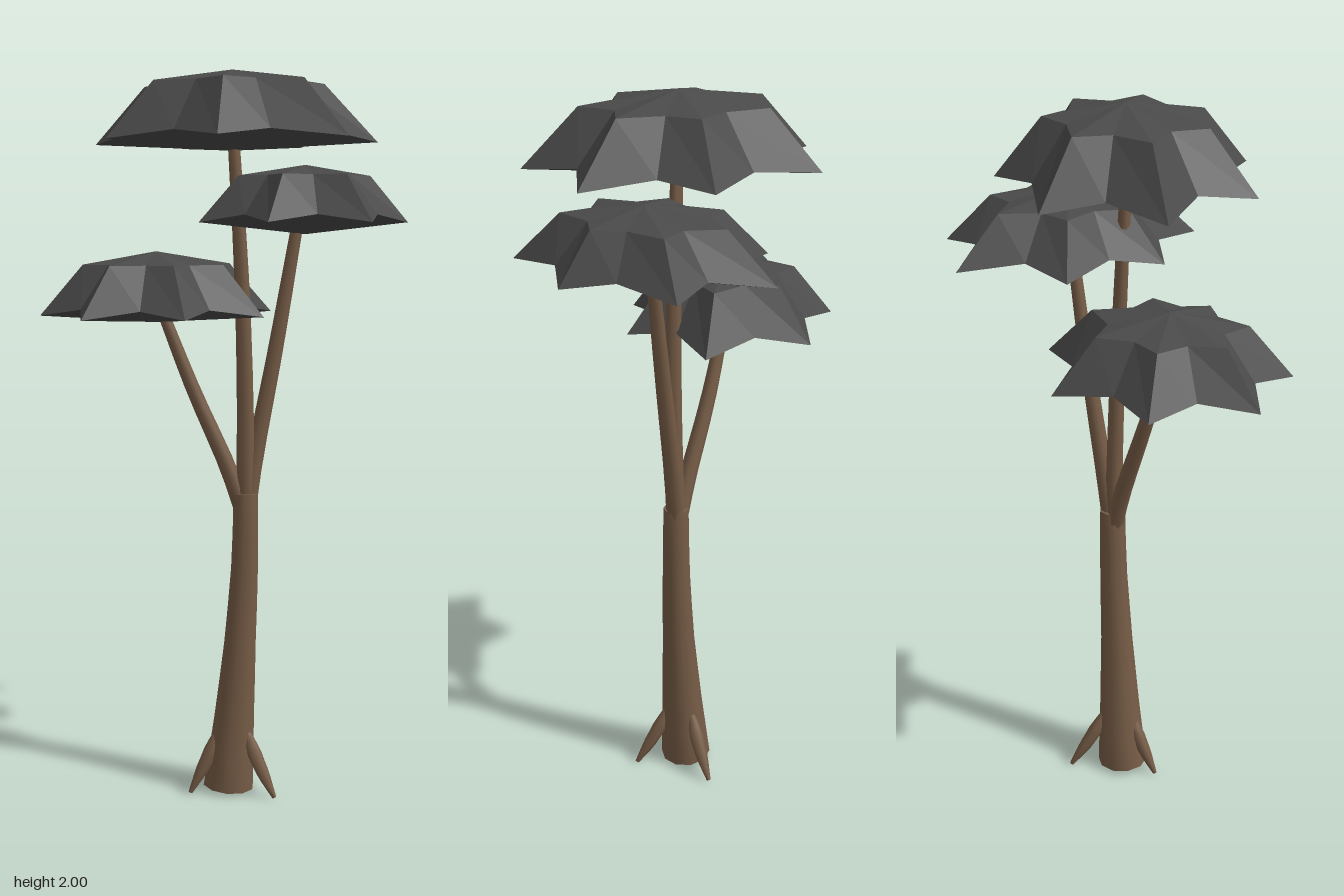
import * as THREE from 'three';
import { toCreasedNormals } from 'three/addons/utils/BufferGeometryUtils.js';

const V = (x, y, z) => new THREE.Vector3(x, y, z);

// Tapered, capped limb swept along a smooth path; radii are spread evenly along it.
function limb(points, radii, sides, segments) {
  const curve = new THREE.CatmullRomCurve3(points.map(p => V(...p)));
  const frames = curve.computeFrenetFrames(segments);
  const pos = [], index = [];
  for (let i = 0; i <= segments; i++) {
    const t = i / segments, f = t * (radii.length - 1);
    const k = Math.min(Math.floor(f), radii.length - 2);
    const r = THREE.MathUtils.lerp(radii[k], radii[k + 1], f - k);
    const c = curve.getPointAt(t);
    for (let j = 0; j < sides; j++) {
      const a = (j / sides) * Math.PI * 2;
      const p = c.clone()
        .addScaledVector(frames.normals[i], Math.cos(a) * r)
        .addScaledVector(frames.binormals[i], Math.sin(a) * r);
      pos.push(p.x, Math.max(p.y, 0), p.z);
      if (i < segments) {
        const n = (j + 1) % sides, q = i * sides;
        index.push(q + j, q + n, q + sides + j, q + n, q + sides + n, q + sides + j);
      }
    }
  }
  const last = segments * sides;
  for (let j = 1; j < sides - 1; j++) {
    index.push(0, j + 1, j, last, last + j, last + j + 1);
  }
  const geo = new THREE.BufferGeometry();
  geo.setAttribute('position', new THREE.Float32BufferAttribute(pos, 3));
  geo.setIndex(index);
  return toCreasedNormals(geo, Math.PI / 3);
}

// Faceted star-shaped canopy: apex, upper ring, drooping rim and shallow underside.
function canopy({ centre: [cx, cz], apex, ring, rim, base, tips }) {
  const outline = [];
  tips.forEach(([a, r], i) => {
    const [b0, s] = tips[(i + 1) % tips.length];
    const b = b0 < a ? b0 + 360 : b0;
    outline.push([a, r, rim], [(a + b) / 2, 0.365 * (r + s), rim + 0.02]);
  });
  const at = ([a, r], k, y) => {
    const t = THREE.MathUtils.degToRad(a);
    return V(cx + Math.cos(t) * r * k, y, cz + Math.sin(t) * r * k);
  };
  const top = V(cx, apex, cz), bottom = V(cx, base, cz), pts = [];
  outline.forEach((o, i) => {
    const n = outline[(i + 1) % outline.length];
    const a = at(o, 0.63, ring), b = at(n, 0.63, ring);
    const c = at(o, 1, o[2]), d = at(n, 1, n[2]);
    pts.push(top, b, a, a, b, c, b, d, c, bottom, c, d);
  });
  const geo = new THREE.BufferGeometry().setFromPoints(pts);
  geo.computeVertexNormals();
  return geo;
}

export function createModel() {
  const tree = new THREE.Group();
  tree.name = 'tree';
  const bark = new THREE.MeshStandardMaterial({ color: 0x765c46 });
  bark.name = 'brown bark';
  const leaves = new THREE.MeshStandardMaterial({ color: 0x4a4a4a });
  leaves.name = 'dark grey foliage';
  const add = (name, geo, mat) => {
    const mesh = new THREE.Mesh(geo, mat);
    mesh.name = name;
    tree.add(mesh);
  };

  // Gently leaning trunk
  add('trunk', limb(
    [[-0.022, 0.012, -0.02], [-0.008, 0.22, -0.01], [0.006, 0.45, 0], [0.018, 0.68, 0.005], [0.02, 0.86, 0.005]],
    [0.073, 0.058, 0.046, 0.039, 0.035], 10, 8), bark);

  // Branches fanning out to each canopy
  const branches = {
    leftwardBranch: [[0.012, 0.82, 0], [-0.02, 0.93, -0.022], [-0.1, 1.15, -0.075], [-0.175, 1.37, -0.115]],
    upperBranch: [[0.018, 0.82, 0.005], [0.014, 1.1, 0.012], [0.002, 1.45, 0.012], [-0.02, 1.83, 0.005]],
    forwardBranch: [[0.025, 0.82, 0.005], [0.045, 0.95, 0.01], [0.1, 1.25, 0.03], [0.16, 1.62, 0.055]],
  };
  for (const [name, path] of Object.entries(branches)) {
    add(name, limb(path, [0.026, 0.023, 0.02, 0.016], 8, 8), bark);
  }

  // Three curved roots tapering to the ground
  for (const [x, z] of [[0.112, -0.1], [0.04, 0.122], [-0.137, -0.04]]) {
    const dx = x + 0.012, dz = z + 0.012;
    const path = [[0.3, 0.19], [0.52, 0.12], [0.76, 0.06], [1, 0.006]]
      .map(([k, y]) => [-0.012 + dx * k, y, -0.012 + dz * k]);
    add('root', limb(path, [0.008, 0.021, 0.018, 0.006], 7, 8), bark);
  }

  // Canopies: each tip is [angle in degrees from +x towards +z, radius]
  add('upperCanopy', canopy({
    centre: [-0.02, 0], apex: 2, ring: 1.963, rim: 1.812, base: 1.79,
    tips: [[-80, 0.366], [-20, 0.33], [33, 0.387], [77, 0.4], [129, 0.352], [186, 0.362], [233, 0.4]],
  }), leaves);
  add('middleCanopy', canopy({
    centre: [0.17, 0.07], apex: 1.755, ring: 1.725, rim: 1.602, base: 1.57,
    tips: [[-65, 0.369], [-19.5, 0.329], [40.5, 0.277], [96, 0.337], [141.5, 0.345], [193, 0.305], [246, 0.33]],
  }), leaves);
  add('lowerCanopy', canopy({
    centre: [-0.19, -0.115], apex: 1.525, ring: 1.49, rim: 1.355, base: 1.335,
    tips: [[-47, 0.32], [5, 0.355], [55, 0.31], [105, 0.275], [158, 0.312], [204.5, 0.313], [258, 0.296]],
  }), leaves);

  return tree;
}
